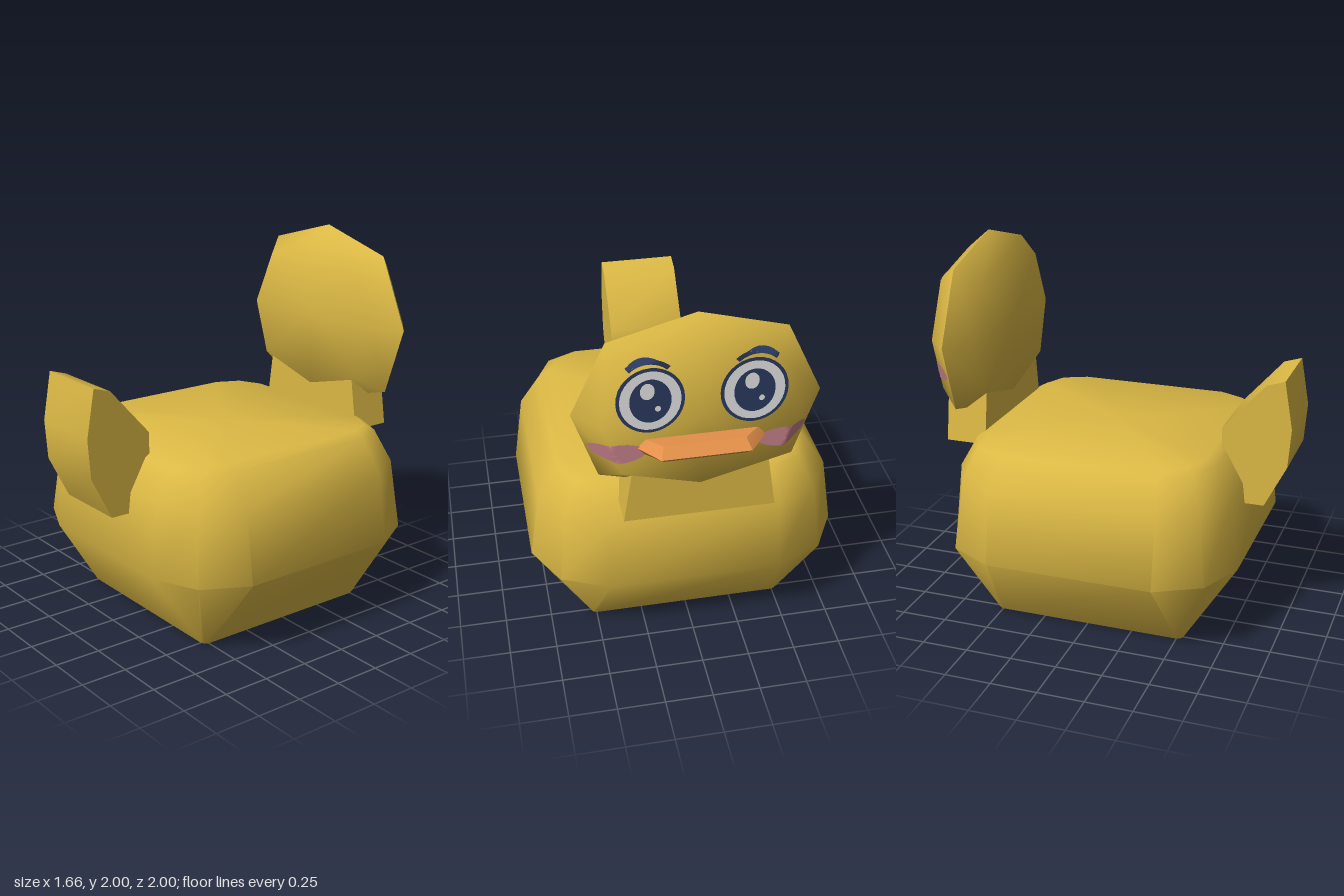
import * as THREE from 'three';
import { toCreasedNormals } from 'three/addons/utils/BufferGeometryUtils.js';

const paint = (name, color, side = THREE.FrontSide) => {
  const m = new THREE.MeshStandardMaterial({ color, side });
  m.name = name;
  return m;
};

// Skin a stack of equal-length rings and close both ends with fans
function loft(rings, crease) {
  const n = rings[0].length, pos = [], idx = [];
  rings.forEach(r => r.forEach(p => pos.push(...p)));
  for (let k = 0; k < rings.length - 1; k++)
    for (let i = 0; i < n; i++) {
      const a = k * n + i, b = k * n + (i + 1) % n;
      idx.push(a, a + n, b, b, a + n, b + n);
    }
  [0, rings.length - 1].forEach((k, end) => {
    const c = pos.length / 3;
    for (let d = 0; d < 3; d++) pos.push(rings[k].reduce((s, p) => s + p[d], 0) / n);
    for (let i = 0; i < n; i++) {
      const a = k * n + i, b = k * n + (i + 1) % n;
      if (end) idx.push(c, b, a); else idx.push(c, a, b);
    }
  });
  const g = new THREE.BufferGeometry();
  g.setAttribute('position', new THREE.Float32BufferAttribute(pos, 3));
  g.setIndex(idx);
  return toCreasedNormals(g, crease);
}

// Rounded-square ring: half sizes, half length of the flat sides, corner middle
function bodyRing([y, hx, hz, flat, mx, mz]) {
  const q = [[hx, flat], [mx, mz], [flat, hz]], r = [...q].reverse();
  return [
    ...q.map(([x, z]) => [x, y, z]), ...r.map(([x, z]) => [-x, y, z]),
    ...q.map(([x, z]) => [-x, y, -z]), ...r.map(([x, z]) => [x, y, -z]),
  ];
}

// Four-cornered ring: back half width and z, front half width and z
const quadRing = (y, w, zb, f, zf) => [[w, y, zb], [-w, y, zb], [-f, y, zf], [f, y, zf]];

// Head outline, clockwise, relative to the head centre
const HEAD_Y = 1.5, FACE_Z = -0.877, RIM_Z = -0.755, BACK_Z = -0.63, FACE_SCALE = 0.79;
const half = [[0.44, 0.38], [0.615, 0], [0.49, -0.37]];
const outline = [[0, 0.5], ...half, [0, -0.5], ...[...half].reverse().map(([x, y]) => [-x, y])];
const headRing = (s, z) => outline.map(([x, y]) => [x * s, HEAD_Y + y * s, z]);

// Depth of the head's face at a point, following its bevel
function faceDepth(x, y) {
  let t = 0;
  outline.forEach(([ax, ay], i) => {
    const [bx, by] = outline[(i + 1) % outline.length];
    const nx = ay - by, ny = bx - ax;
    t = Math.max(t, (nx * x + ny * (y - HEAD_Y)) / (nx * ax + ny * ay));
  });
  const k = THREE.MathUtils.clamp((t - FACE_SCALE) / (1 - FACE_SCALE), 0, 1);
  return THREE.MathUtils.lerp(FACE_Z, RIM_Z, k);
}

// Lay a flat shape on the face, lifted slightly off the surface
function decal(geo, x, y, lift) {
  geo.rotateY(Math.PI).translate(x, y, 0);
  const p = geo.attributes.position;
  for (let i = 0; i < p.count; i++) p.setZ(i, faceDepth(p.getX(i), p.getY(i)) - lift);
  geo.computeVertexNormals();
  return geo;
}
const disc = (x, y, rx, ry, lift) =>
  decal(new THREE.RingGeometry(0.001, 1, 32, 8).scale(rx, ry, 1), x, y, lift);

export function createModel() {
  const gold = paint('gold', 0xdcb945);
  const orange = paint('orange', 0xe38f4a);
  const navy = paint('navy', 0x2a3a60, THREE.DoubleSide);
  const white = paint('white', 0xeeeeee, THREE.DoubleSide);
  const pink = paint('pink', 0xc9828c, THREE.DoubleSide);

  const model = new THREE.Group();
  model.name = 'duck';
  const add = (name, geo, mat, parent = model) => {
    const m = new THREE.Mesh(geo, mat);
    m.name = name;
    parent.add(m);
    return m;
  };

  // Body, narrow square base swelling to a rounded block
  add('body', loft([
    [0, 0.53, 0.53, 0.5, 0.52, 0.52],
    [0.42, 0.83, 0.8, 0.45, 0.7, 0.69],
    [0.8, 0.775, 0.755, 0.45, 0.66, 0.65],
    [0.97, 0.665, 0.66, 0.43, 0.59, 0.585],
    [1, 0.61, 0.61, 0.42, 0.55, 0.55],
  ].map(bodyRing), 0.87), gold);

  // Tail, side profile drawn as z, y
  const profile = [[0.955, 1.385], [0.86, 1.355], [0.635, 1.1], [0.635, 0.9],
    [0.7, 0.69], [0.87, 0.69], [0.985, 0.92], [1, 1.13]];
  const tail = new THREE.ExtrudeGeometry(
    new THREE.Shape(profile.map(([z, y]) => new THREE.Vector2(z, y))),
    { depth: 0.42, bevelEnabled: false });
  tail.rotateY(-Math.PI / 2).translate(0.21, 0, 0);
  add('tail', toCreasedNormals(tail, 0.8), gold);

  // Neck and head
  add('neck', loft([
    quadRing(0.905, 0.385, -0.64, 0.385, -0.865),
    quadRing(1.2, 0.34, -0.64, 0.34, -0.865),
  ], 0.4), gold);
  add('head', loft([
    headRing(FACE_SCALE, FACE_Z), headRing(1, RIM_Z), headRing(FACE_SCALE, BACK_Z),
  ], 1), gold);

  // Bill
  add('bill', loft([
    quadRing(1.31, 0.29, -0.86, 0.2, -0.95),
    quadRing(1.355, 0.33, -0.86, 0.22, -1),
    quadRing(1.4, 0.29, -0.86, 0.2, -0.95),
  ], 0.4), orange);

  // Eyes, brows and cheeks on both sides
  for (const [side, s] of [['left', 1], ['right', -1]]) {
    const face = new THREE.Group();
    face.name = side + 'FaceDetails';
    model.add(face);
    const x = s * 0.25, y = 1.62;
    add('eyeRim', disc(x, y, 0.165, 0.18, 0.003), navy, face);
    add('eyeWhite', disc(x, y, 0.148, 0.163, 0.005), white, face);
    add('iris', disc(x, y, 0.1, 0.12, 0.007), navy, face);
    add('glint', disc(x + 0.015, y + 0.055, 0.035, 0.045, 0.009), white, face);
    add('smallGlint', disc(x - 0.035, y - 0.045, 0.014, 0.016, 0.009), white, face);
    add('brow', decal(new THREE.RingGeometry(0.125, 0.15, 16, 2, Math.PI * 0.25, Math.PI * 0.5),
      s * 0.26, 1.695, 0.004), navy, face);
    add('cheek', disc(s * 0.41, 1.33, 0.135, 0.055, 0.004), pink, face);
  }
  return model;
}
